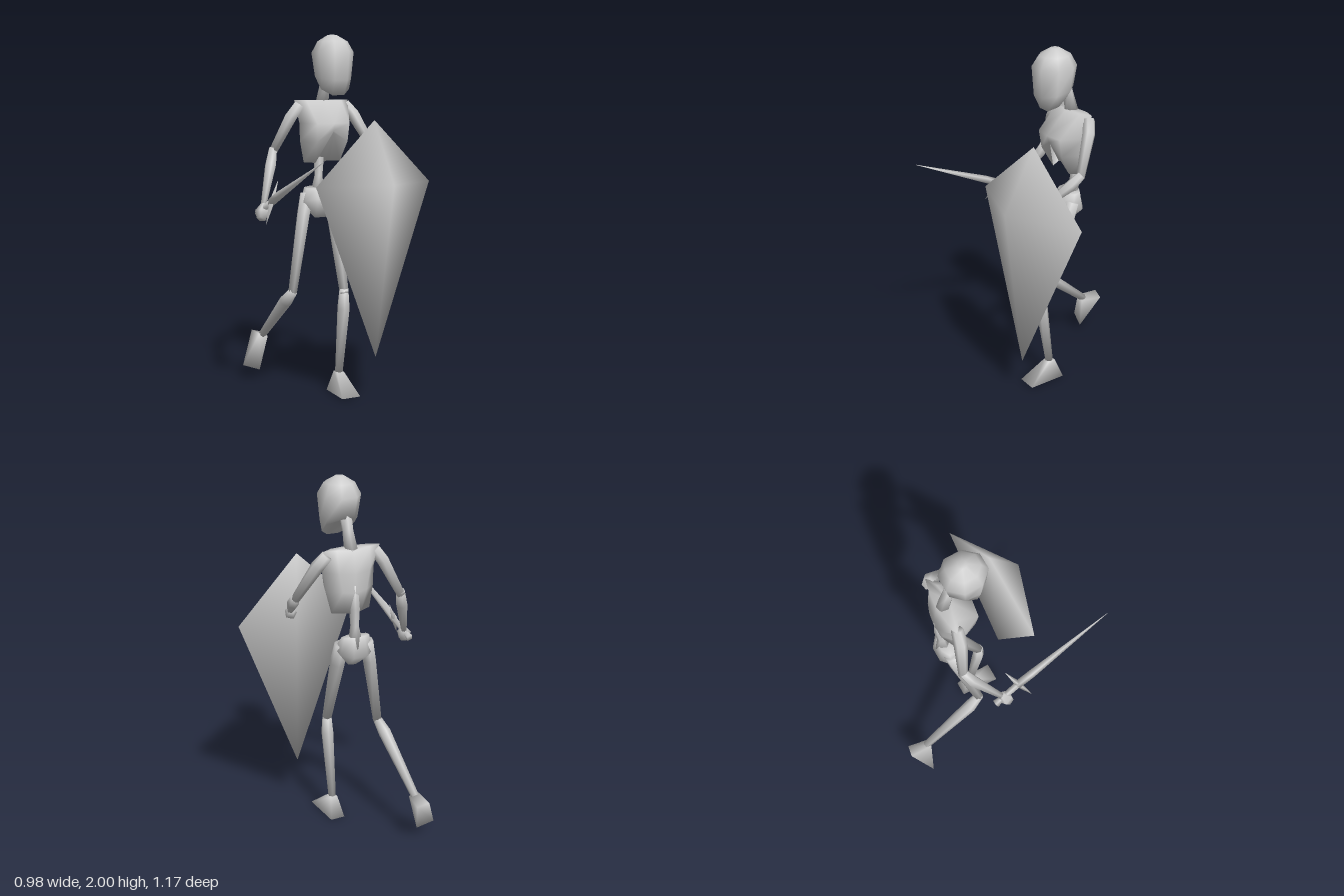
import * as THREE from 'three';
import { mergeVertices } from 'three/addons/utils/BufferGeometryUtils.js';
import { ConvexGeometry } from 'three/addons/geometries/ConvexGeometry.js';

const V = (a) => new THREE.Vector3(a[0], a[1], a[2]);
const material = new THREE.MeshStandardMaterial({ color: 0xcccccc });

// Fully smooth normals, each face weighted by its corner angle
function smooth(g) {
  const pos = g.attributes.position;
  const normals = Array.from({ length: pos.count }, () => new THREE.Vector3());
  for (let f = 0; f < g.index.count; f += 3) {
    const ids = [0, 1, 2].map((k) => g.index.getX(f + k));
    const p = ids.map((i) => new THREE.Vector3().fromBufferAttribute(pos, i));
    const n = new THREE.Triangle(...p).getNormal(new THREE.Vector3());
    ids.forEach((id, k) => {
      const a = p[(k + 1) % 3].clone().sub(p[k]), b = p[(k + 2) % 3].clone().sub(p[k]);
      normals[id].addScaledVector(n, a.angleTo(b));
    });
  }
  const flat = normals.flatMap((n) => n.normalize().toArray());
  g.setAttribute('normal', new THREE.Float32BufferAttribute(flat, 3));
  return g;
}

function makeMesh(name, geometry) {
  const mesh = new THREE.Mesh(smooth(geometry), material);
  mesh.name = name;
  return mesh;
}

function indexed(points, index) {
  const g = new THREE.BufferGeometry().setFromPoints(points);
  g.setIndex(index);
  return g;
}

// Skin a list of equal-length rings (counter-clockwise about the path) and cap both ends
function loft(rings) {
  const n = rings[0].length;
  const index = [];
  for (let i = 0; i < rings.length - 1; i++) {
    for (let j = 0; j < n; j++) {
      const a = i * n + j, b = i * n + ((j + 1) % n);
      index.push(a, b, b + n, a, b + n, a + n);
    }
  }
  const last = (rings.length - 1) * n;
  for (let j = 1; j < n - 1; j++) index.push(0, j + 1, j, last, last + j, last + j + 1);
  return indexed(rings.flat(), index);
}

// Tapered limb through stations [x, y, z, radius]
function limb(name, stations, sides = 6) {
  const p = stations.map(V);
  const rings = p.map((c, i) => {
    const t = p[Math.min(i + 1, p.length - 1)].clone().sub(p[Math.max(i - 1, 0)]).normalize();
    const u = new THREE.Vector3(0.25, 0.1, 1).cross(t).normalize();
    const v = t.clone().cross(u);
    return Array.from({ length: sides }, (_, k) => {
      const a = (k / sides) * Math.PI * 2, r = stations[i][3];
      return c.clone().addScaledVector(u, r * Math.cos(a)).addScaledVector(v, r * Math.sin(a));
    });
  });
  return makeMesh(name, loft(rings));
}

// Tilted eight-sided body ring: front height and depth, back height and depth, half width
function bodyRing(cx, [yf, zf, yb, zb, w]) {
  const grow = 1 / Math.cos(Math.PI / 8);
  return Array.from({ length: 8 }, (_, k) => {
    const a = ((k + 0.5) / 8) * Math.PI * 2;
    const c = Math.cos(a) * grow, s = Math.sin(a) * grow;
    return new THREE.Vector3(cx + s * w, (yf + yb) / 2 + (c * (yf - yb)) / 2, (zf + zb) / 2 + (c * (zf - zb)) / 2);
  });
}

function hull(name, pts) {
  const g = new ConvexGeometry(pts.map(V));
  g.deleteAttribute('normal');
  return makeMesh(name, mergeVertices(g));
}

function makeRibcage() {
  // Per level: height, half width, front and back depth, back width share, lift of the front centre
  const cx = -0.025;
  const levels = [
    { y: 1.3, w: 0.115, zf: -0.1, zb: -0.225, back: 0.4, notch: 0.17 },
    { y: 1.42, w: 0.143, zf: -0.035, zb: -0.24, back: 0.5, notch: 0.06 },
    { y: 1.52, w: 0.15, zf: -0.02, zb: -0.235, back: 0.6, notch: 0 },
    { y: 1.645, w: 0.165, zf: -0.145, zb: -0.22, back: 0.6, notch: 0 },
  ];
  const rings = levels.map(({ y, w, zf, zb, back, notch }) => {
    const half = [[0.65, zf - 0.015], [1, zf * 0.35 + zb * 0.65], [back, zb + 0.01]];
    const side = (s) => half.map(([k, z]) => new THREE.Vector3(cx + s * k * w, y, z));
    return [
      new THREE.Vector3(cx, y + notch, notch > 0.1 ? -0.04 : zf), ...side(1),
      new THREE.Vector3(cx, y - 0.01, zb), ...side(-1).reverse(),
    ];
  });
  return makeMesh('ribcage', loft(rings));
}

function makeShield() {
  // Kite with a raised front point and a flat back; corners run top, right, bottom, left
  const points = [[0.12, 1.545, 0.165], [0.49, 1.195, 0.127], [0.095, 0.255, 0.235], [-0.26, 1.205, 0.23], [0.135, 1.21, 0.36]];
  const index = [0, 1, 2, 0, 2, 3];
  for (let i = 0; i < 4; i++) index.push((i + 1) % 4, i, 4);
  return makeMesh('shield', indexed(points.map(V), index));
}

export function createModel() {
  const model = new THREE.Group();
  model.name = 'skeletonWarrior';

  // Head, with the jaw dropping forward to the chin
  const head = [
    [1.675, 0.005, 1.785, -0.12, 0.085],
    [1.755, 0.043, 1.79, -0.16, 0.09],
    [1.91, 0.052, 1.9, -0.178, 0.105],
    [1.965, 0.018, 1.965, -0.145, 0.075],
    [2.0, -0.045, 2.0, -0.09, 0.022],
  ].map((r) => bodyRing(-0.018, r));
  model.add(makeMesh('head', loft(head)));

  // Trunk
  model.add(limb('neck', [[-0.02, 1.82, -0.125, 0.034], [-0.02, 1.73, -0.155, 0.03], [-0.025, 1.62, -0.185, 0.038]]));
  model.add(makeRibcage());
  model.add(limb('spine', [[-0.025, 1.45, -0.22, 0.02], [-0.03, 1.32, -0.215, 0.03], [-0.035, 1.22, -0.21, 0.024], [-0.045, 1.1, -0.205, 0.045]]));
  const pelvis = [
    [0.99, -0.14, 0.985, -0.18, 0.03],
    [1.1, -0.095, 1.05, -0.255, 0.1],
    [1.15, -0.15, 1.16, -0.235, 0.075],
  ].map((r) => bodyRing(-0.05, r));
  model.add(makeMesh('pelvis', loft(pelvis)));

  // Arms
  model.add(limb('rightUpperArm', [[-0.165, 1.62, -0.18, 0.032], [-0.215, 1.55, -0.19, 0.036], [-0.31, 1.355, -0.228, 0.025]]));
  model.add(limb('rightForearm', [[-0.305, 1.38, -0.228, 0.024], [-0.335, 1.29, -0.195, 0.032], [-0.435, 1.08, -0.065, 0.016]]));
  model.add(limb('leftUpperArm', [[0.12, 1.62, -0.19, 0.032], [0.16, 1.56, -0.16, 0.036], [0.237, 1.36, -0.05, 0.024]]));
  model.add(limb('leftForearm', [[0.24, 1.375, -0.055, 0.024], [0.225, 1.325, 0.0, 0.032], [0.18, 1.23, 0.13, 0.016]]));
  model.add(limb('rightFist', [[-0.43, 1.095, -0.065, 0.018], [-0.445, 1.055, -0.05, 0.042], [-0.46, 1.02, -0.03, 0.026]], 5));
  model.add(limb('leftFist', [[0.185, 1.245, 0.1, 0.018], [0.175, 1.22, 0.135, 0.036], [0.17, 1.2, 0.165, 0.024]], 5));

  // Left leg stands, right leg trails
  model.add(limb('leftThigh', [[0.02, 1.11, -0.165, 0.038], [0.02, 0.99, -0.12, 0.042], [0.0, 0.58, 0.045, 0.026]]));
  model.add(limb('leftShin', [[0.0, 0.61, 0.04, 0.026], [0.0, 0.5, 0.035, 0.036], [-0.002, 0.1, -0.022, 0.022]]));
  model.add(limb('rightThigh', [[-0.115, 1.12, -0.2, 0.038], [-0.145, 1.0, -0.18, 0.038], [-0.25, 0.58, -0.1, 0.026]]));
  model.add(limb('rightShin', [[-0.248, 0.595, -0.09, 0.024], [-0.262, 0.525, -0.165, 0.036], [-0.28, 0.26, -0.475, 0.022]]));
  model.add(hull('leftFoot', [
    [-0.06, 0.01, 0.14], [0.052, 0.01, 0.14], [0.04, 0, -0.09], [-0.045, 0, -0.09],
    [-0.024, 0.12, 0], [0.02, 0.12, 0], [-0.022, 0.12, -0.045], [0.02, 0.12, -0.045],
  ]));
  model.add(hull('rightFoot', [
    [-0.395, 0.085, -0.495], [-0.3, 0.052, -0.47], [-0.232, 0.25, -0.575], [-0.3, 0.268, -0.588],
    [-0.305, 0.275, -0.455], [-0.255, 0.255, -0.45],
  ]));

  // Sword and shield
  const sword = new THREE.Group();
  sword.name = 'sword';
  sword.add(limb('blade', [[-0.43, 1.115, 0.03, 0.022], [-0.425, 1.16, 0.12, 0.022], [-0.385, 1.375, 0.585, 0.001]], 4));
  sword.add(limb('grip', [[-0.448, 1.045, -0.11, 0.022], [-0.443, 1.06, -0.07, 0.016], [-0.43, 1.115, 0.03, 0.018]], 4));
  sword.add(limb('guard', [[-0.37, 1.225, -0.012, 0.001], [-0.43, 1.115, 0.038, 0.017], [-0.485, 1.01, 0.092, 0.001]], 4));
  model.add(sword, makeShield());

  return model;
}
